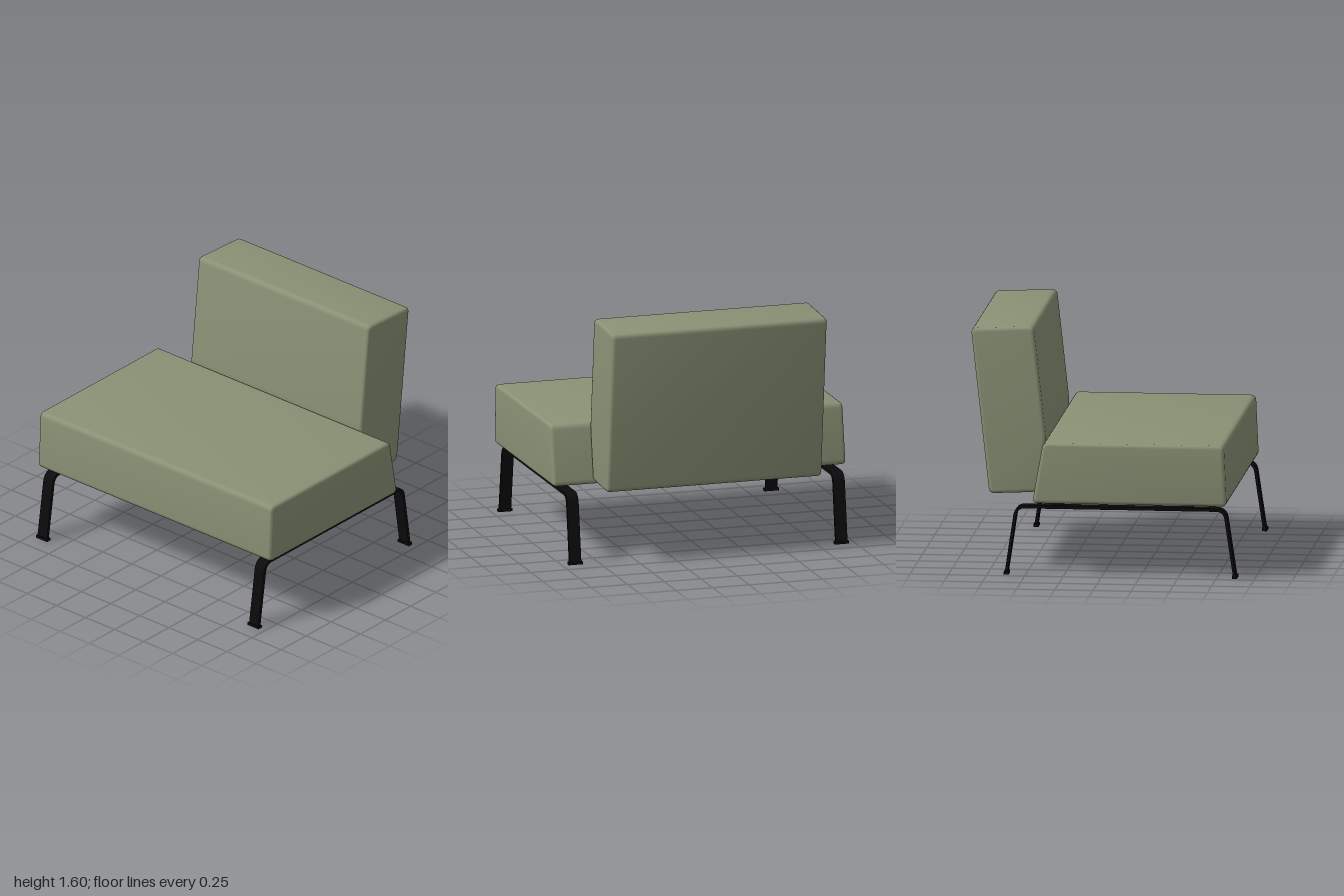
import * as THREE from 'three';
import { toCreasedNormals } from 'three/addons/utils/BufferGeometryUtils.js';

const fabric = new THREE.MeshStandardMaterial({ color: 0x8a9175 });
const metal = new THREE.MeshStandardMaterial({ color: 0x0b0b0b });

function addMesh(parent, name, geometry, material, x = 0, y = 0, z = 0) {
  const mesh = new THREE.Mesh(geometry, material);
  mesh.name = name;
  mesh.position.set(x, y, z);
  parent.add(mesh);
  return mesh;
}

// Side profile in (z, y) extruded along x, centred on x = 0
function extrudeAcross(shape, width, bevel) {
  const geometry = new THREE.ExtrudeGeometry(shape, {
    depth: width - 2 * bevel,
    bevelEnabled: bevel > 0,
    bevelSize: bevel,
    bevelThickness: bevel,
    bevelOffset: -bevel,
    bevelSegments: 4,
    curveSegments: 5,
  });
  geometry.translate(0, 0, bevel - width / 2);
  geometry.rotateY(-Math.PI / 2);
  return toCreasedNormals(geometry, 0.6);
}

// Polygon with each corner rounded by a quadratic curve
function roundedShape(corners, radius) {
  const shape = new THREE.Shape();
  const points = corners.map(([z, y]) => new THREE.Vector2(z, y));
  points.forEach((p, i) => {
    const prev = points[(i + points.length - 1) % points.length];
    const next = points[(i + 1) % points.length];
    const a = prev.clone().sub(p).setLength(radius).add(p);
    const b = next.clone().sub(p).setLength(radius).add(p);
    if (i === 0) shape.moveTo(a.x, a.y);
    else shape.lineTo(a.x, a.y);
    shape.quadraticCurveTo(p.x, p.y, b.x, b.y);
  });
  shape.closePath();
  return shape;
}

// Flat bar of constant thickness bent along a centreline
function strapShape(path, thickness) {
  const points = path.getPoints(8);
  const side = (sign) => points.map((p, i) => {
    const before = points[Math.max(i - 1, 0)];
    const after = points[Math.min(i + 1, points.length - 1)];
    const d = after.clone().sub(before).normalize();
    return new THREE.Vector2(p.x - d.y * sign * thickness / 2, p.y + d.x * sign * thickness / 2);
  });
  return new THREE.Shape([...side(1), ...side(-1).reverse()]);
}

export function createModel() {
  const model = new THREE.Group();
  model.name = 'loungeChair';

  // Cushions
  const seat = roundedShape([[0.82, 0.48], [0.802, 0.88], [-0.382, 0.88], [-0.453, 0.48]], 0.035);
  addMesh(model, 'seatCushion', extrudeAcross(seat, 2, 0.022), fabric);

  const back = roundedShape(
    [[-0.39, 0.86], [-0.45, 0.508], [-0.762, 0.494], [-0.882, 1.583], [-0.472, 1.602]], 0.035);
  addMesh(model, 'backCushion', extrudeAcross(back, 1.468, 0.022), fabric);

  // Bent flat-bar frame on each side, with pads and feet
  const path = new THREE.Path();
  path.moveTo(0.869, 0.008);
  path.lineTo(0.812, 0.39);
  path.quadraticCurveTo(0.803, 0.449, 0.745, 0.449);
  path.lineTo(-0.505, 0.449);
  path.quadraticCurveTo(-0.561, 0.449, -0.57, 0.39);
  path.lineTo(-0.627, 0.008);
  const strap = extrudeAcross(strapShape(path, 0.02), 0.08, 0);
  const pad = new THREE.BoxGeometry(0.06, 0.034, 0.08);
  const foot = new THREE.BoxGeometry(0.096, 0.018, 0.033);

  for (const [sideName, x] of [['left', 0.91], ['right', -0.91]]) {
    const frame = new THREE.Group();
    frame.name = sideName + 'LegFrame';
    frame.position.x = x;
    addMesh(frame, 'legStrap', strap, metal);
    for (const z of [0.556, -0.292]) addMesh(frame, 'seatPad', pad, metal, 0, 0.47, z);
    for (const z of [0.869, -0.627]) addMesh(frame, 'foot', foot, metal, 0, 0.009, z);
    model.add(frame);
  }
  return model;
}
